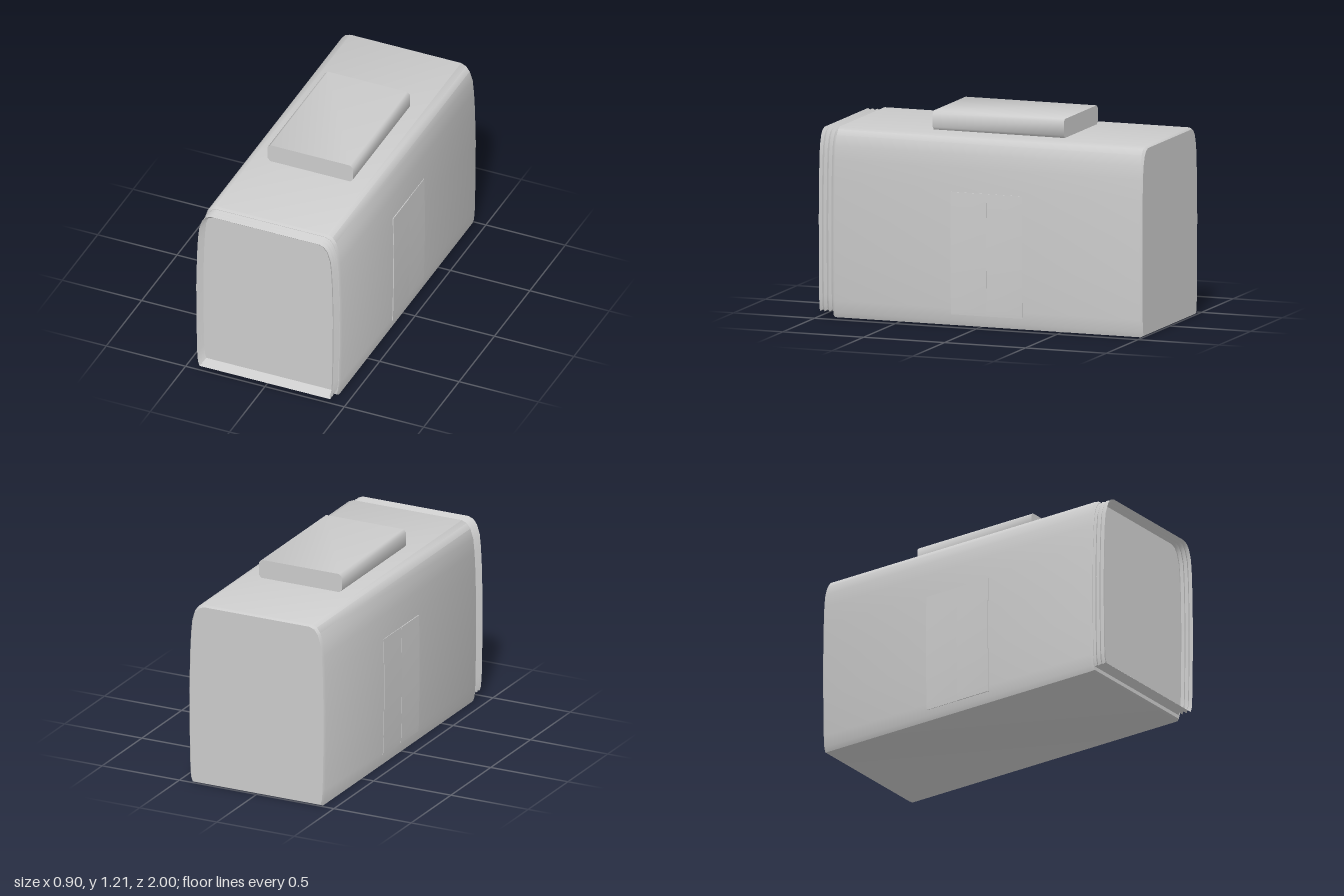
import * as THREE from 'three';
import { toCreasedNormals } from 'three/addons/utils/BufferGeometryUtils.js';

// Right half of the cross-section, from the sill up to the roof
const HALF = [
  [0.422, 0], [0.432, 0.03], [0.437, 0.1], [0.442, 0.35], [0.443, 0.58], [0.438, 0.8],
  [0.432, 0.92], [0.424, 1.0], [0.405, 1.06], [0.382, 1.09], [0.35, 1.103],
];
const WIDTH = 0.443, TOP = 1.103;

// Closed cross-section fitted to a half width and a height range
function ring(halfWidth, y0, y1) {
  const right = HALF.map(([x, y]) => [x * halfWidth / WIDTH, y0 + y / TOP * (y1 - y0)]);
  return [...right, ...right.map(([x, y]) => [-x, y]).reverse()];
}

// Skin through sections { z, pts }, from back to front
function loft(sections, closed, crease) {
  const pos = [], index = [];
  const n = sections[0].pts.length;
  sections.forEach(({ z, pts }) => pts.forEach(([x, y]) => pos.push(x, y, z)));
  for (let j = 0; j < sections.length - 1; j++) {
    for (let i = 0; i < (closed ? n : n - 1); i++) {
      const a = j * n + i, b = j * n + (i + 1) % n;
      index.push(a, b, b + n, a, b + n, a + n);
    }
  }
  const g = new THREE.BufferGeometry();
  g.setAttribute('position', new THREE.Float32BufferAttribute(pos, 3));
  g.setIndex(index);
  return toCreasedNormals(g, crease);
}

// Side profile width at a given height
function sideX(y) {
  const i = HALF.findIndex((p) => p[1] > y);
  const [x0, y0] = HALF[i - 1], [x1, y1] = HALF[i];
  return x0 + (x1 - x0) * (y - y0) / (y1 - y0);
}

export function createModel() {
  const group = new THREE.Group();
  const grey = new THREE.MeshStandardMaterial({ color: 0xcccccc, side: THREE.DoubleSide });
  grey.name = 'light grey';
  const add = (name, geometry) => {
    const mesh = new THREE.Mesh(geometry, grey);
    mesh.name = name;
    group.add(mesh);
    return mesh;
  };

  // Body shell with softly bevelled ends
  const full = ring(WIDTH, 0, TOP);
  const end = ring(WIDTH - 0.01, 0.008, TOP - 0.01);
  add('bodyShell', loft([
    { z: -1, pts: end }, { z: -0.985, pts: full },
    { z: 0.9, pts: full }, { z: 0.915, pts: end },
  ], true, 0.7));

  // End walls
  const wall = new THREE.ShapeGeometry(new THREE.Shape(end.map(([x, y]) => new THREE.Vector2(x, y))));
  add('frontWall', wall).position.z = 0.915;
  const back = add('backWall', wall);
  back.rotation.y = Math.PI;
  back.position.z = -1;

  // Open pleated gangway at the front
  const pleats = [];
  for (let i = 0; i <= 6; i++) {
    const d = i % 2 ? 0.012 : 0;
    pleats.push({ z: 0.912 + i * 0.088 / 6, pts: ring(0.433 - d, 0.028 + d, 1.093 - d) });
  }
  add('gangwayBellows', loft(pleats, true, 0.5));

  // Roof unit with chamfered long edges
  const roof = [[0.25, 1.1], [0.268, 1.12], [0.268, 1.197], [0.25, 1.214]];
  const roofPts = [...roof, ...roof.map(([x, y]) => [-x, y]).reverse()];
  const roofShape = new THREE.Shape(roofPts.map(([x, y]) => new THREE.Vector2(x, y)));
  const roofGeo = new THREE.ExtrudeGeometry(roofShape, { depth: 0.81, bevelEnabled: false });
  add('roofUnit', toCreasedNormals(roofGeo, 0.9)).position.z = -0.45;

  // Pairs of thin door leaves following the curved sides
  const heights = [0.065, 0.1, 0.35, 0.58, 0.78];
  for (const side of [1, -1]) {
    [[-0.26, -0.04, 0.003], [-0.04, 0.18, 0.005]].forEach(([z0, z1, out], k) => {
      let pts = [
        ...heights.map((y) => [side * (sideX(y) + out), y]),
        ...heights.map((y) => [side * (sideX(y) - 0.004), y]).reverse(),
      ];
      const shape = new THREE.Shape(pts.map(([x, y]) => new THREE.Vector2(x, y)));
      const leaf = new THREE.ExtrudeGeometry(shape, { depth: z1 - z0, bevelEnabled: false });
      add((side > 0 ? 'left' : 'right') + (k ? 'FrontDoorLeaf' : 'RearDoorLeaf'),
        toCreasedNormals(leaf, 0.5)).position.z = z0;
    });
  }
  return group;
}
